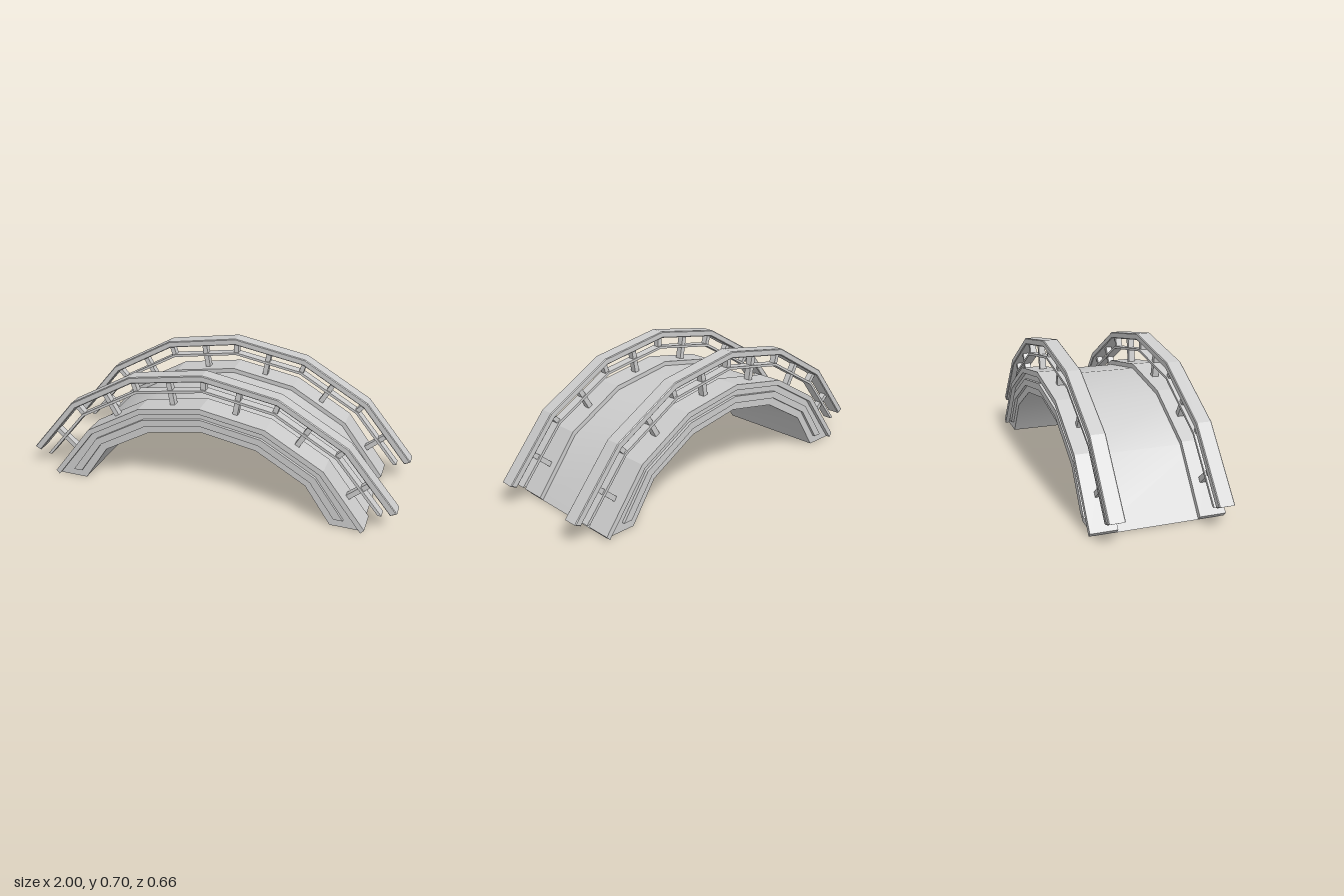
import * as THREE from 'three';
import { toCreasedNormals } from 'three/addons/utils/BufferGeometryUtils.js';

const material = new THREE.MeshStandardMaterial({ color: 0xcccccc });

// Half profiles run from the crown (x = 0) to the foot of the arch.
const CURB_TOP = [[0, 0.54], [0.337, 0.482], [0.635, 0.31], [0.856, 0.02]];
const CURB_BASE = [[0, 0.511], [0.327, 0.455], [0.617, 0.288], [0.838, 0]];
const DECK_TOP = [[0, 0.516], [0.329, 0.459], [0.62, 0.292], [0.84, 0]];
const SOFFIT = [[0, 0.4], [0.287, 0.349], [0.545, 0.2], [0.68, 0]];
const STRIP_TOP = [[0, 0.476], [0.315, 0.422], [0.595, 0.26], [0.747, 0.045]];
const STRIP_BASE = [[0, 0.44], [0.302, 0.388], [0.57, 0.232], [0.7, 0.045]];
const RAIL_TOP = [[0, 0.705], [0.392, 0.637], [0.743, 0.435], [1.0, 0.125]];
const RAIL_BASE = [[0, 0.67], [0.383, 0.604], [0.722, 0.408], [0.968, 0.108]];
const MID_TOP = [[0, 0.62], [0.369, 0.557], [0.692, 0.37], [0.926, 0.089]];
const MID_BASE = [[0, 0.607], [0.364, 0.544], [0.683, 0.36], [0.908, 0.087]];

// Mirrors two half profiles into a closed arch band and extrudes it from z0 to z1
function archBand(outer, inner, z0, z1, bevel = 0) {
  const whole = (half) => [
    ...half.slice(1).reverse().map(([x, y]) => [-x, y]),
    ...half,
  ];
  const points = [...whole(outer), ...whole(inner).reverse()];
  const shape = new THREE.Shape(points.map(([x, y]) => new THREE.Vector2(x, y)));
  return new THREE.ExtrudeGeometry(shape, {
    depth: z1 - z0 - 2 * bevel,
    bevelEnabled: bevel > 0,
    bevelThickness: bevel,
    bevelSize: bevel,
    bevelOffset: -bevel,
    bevelSegments: 1,
  }).translate(0, 0, z0 + bevel);
}

function add(parent, name, geometry) {
  const mesh = new THREE.Mesh(geometry, material);
  mesh.name = name;
  parent.add(mesh);
  return mesh;
}

// Square bar between two points in the xy plane
function addBar(parent, name, [x0, y0], [x1, y1], width, depth, z) {
  const length = Math.hypot(x1 - x0, y1 - y0);
  const bar = add(parent, name, new THREE.BoxGeometry(width, length, depth));
  bar.position.set((x0 + x1) / 2, (y0 + y1) / 2, z);
  bar.rotation.z = Math.atan2(x0 - x1, y1 - y0);
}

// One side of the bridge: curb, trim strip and handrail
function createSide(side) {
  const group = new THREE.Group();
  group.name = side > 0 ? 'frontSide' : 'backSide';
  const band = (name, outer, inner, near, far, bevel) => add(group, name,
    archBand(outer, inner, Math.min(side * near, side * far), Math.max(side * near, side * far), bevel));

  band('curb', CURB_TOP, CURB_BASE, 0.2, 0.332);
  band('trimStrip', STRIP_TOP, STRIP_BASE, 0.3, 0.325);
  band('handrail', RAIL_TOP, RAIL_BASE, 0.219, 0.297, 0.004);
  band('middleRail', MID_TOP, MID_BASE, 0.233, 0.283);

  const z = side * 0.258;
  // Full posts stand on the curb, midway along each segment
  const posts = [
    [[0.164, 0.5], [0.191, 0.66]],
    [[0.48, 0.385], [0.558, 0.522]],
    [[0.735, 0.14], [0.868, 0.259]],
  ];
  // Short struts join the two rails at the bends
  const struts = [
    [[0.367, 0.548], [0.388, 0.615]],
    [[0.68, 0.363], [0.73, 0.418]],
  ];
  for (const s of [1, -1]) {
    const flip = ([x, y]) => [s * x, y];
    for (const [a, b] of posts) addBar(group, 'post', flip(a), flip(b), 0.026, 0.034, z);
    for (const [a, b] of struts) addBar(group, 'strut', flip(a), flip(b), 0.024, 0.034, z);
  }
  addBar(group, 'strut', [0, 0.61], [0, 0.68], 0.026, 0.034, z);
  return group;
}

export function createModel() {
  const model = new THREE.Group();
  model.name = 'archBridge';
  // Arched deck, shaded smoothly along its walkway and underside
  add(model, 'deck', toCreasedNormals(archBand(DECK_TOP, SOFFIT, -0.31, 0.31), 0.5));
  for (const side of [1, -1]) model.add(createSide(side));
  return model;
}
